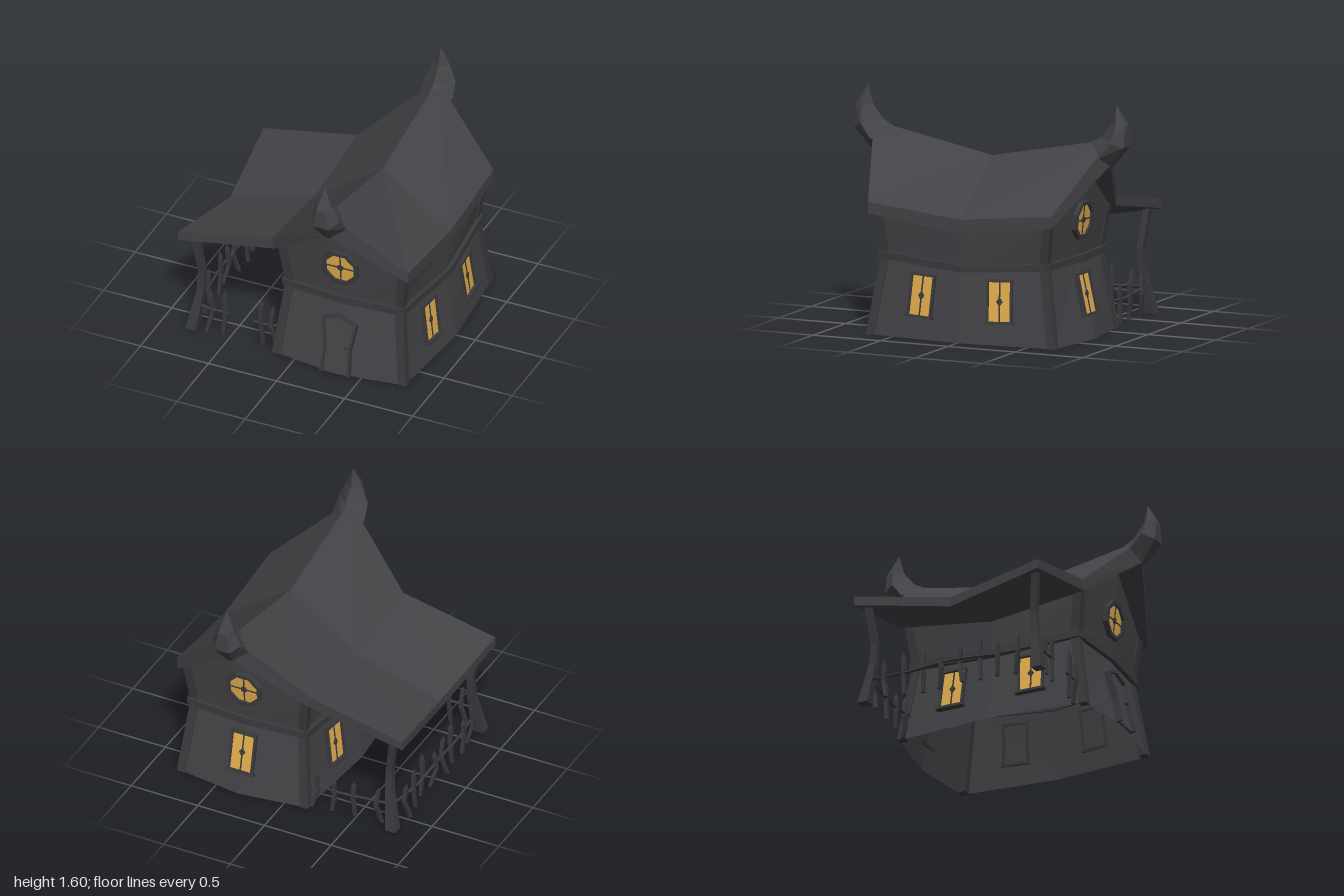
import * as THREE from 'three';

const mat = (name, color, side = THREE.FrontSide) =>
  Object.assign(new THREE.MeshStandardMaterial({ color, flatShading: true, side }), { name });

// House centre line and wall levels: y, half width, half depth, side bulge, front bulge, side sag
const CX = 0.32;
const LEVELS = [
  [0.01, 0.48, 0.69, 0.06, 0.065, 0],
  [0.55, 0.42, 0.605, 0.045, 0.03, 0.045],
  [0.86, 0.46, 0.645, 0.025, 0.02, 0.08],
];

// Point on a wall; face 0 front, 1 left (+x), 2 back, 3 right; t runs -1..1 along it, out is an outward offset
function wallPoint(face, t, y, out = 0) {
  const k = y < LEVELS[1][0] ? 0 : 1, a = LEVELS[k], b = LEVELS[k + 1];
  const f = (y - a[0]) / (b[0] - a[0]);
  const [, hx, hz, bx, bz, sag] = a.map((v, i) => v + (b[i] - v) * f);
  const m = 1 - Math.abs(t), s = face > 1 ? -1 : 1;
  return face % 2 === 0
    ? new THREE.Vector3(CX + s * t * hx, y, s * (hz + bz * m + out))
    : new THREE.Vector3(CX + s * (hx + bx * m + out), y - sag * m, -s * t * hz);
}

// Closed solid through rings of equal point count, always facing outward
function loft(rings) {
  const n = rings[0].length, tris = [];
  const quad = (a, b, c, d) => tris.push([a, b, c], [a, c, d]);
  for (let r = 0; r + 1 < rings.length; r++)
    for (let i = 0; i < n; i++) {
      const j = (i + 1) % n;
      quad(rings[r][i], rings[r][j], rings[r + 1][j], rings[r + 1][i]);
    }
  const first = rings[0], last = rings[rings.length - 1];
  for (let i = 0; i < Math.floor((n - 1) / 2); i++) {
    const o = n - 1 - i;
    quad(first[o], first[o - 1], first[i + 1], first[i]);
    quad(last[i], last[i + 1], last[o - 1], last[o]);
  }
  const c = first[0], rel = (p) => p.clone().sub(c);
  let vol = 0;
  for (const [p, q, s] of tris) vol += rel(p).dot(rel(q).cross(rel(s)));
  if (vol < 0) tris.forEach((t) => t.reverse());
  const g = new THREE.BufferGeometry().setFromPoints(tris.flat());
  g.computeVertexNormals();
  return g;
}

const V = (x, y, z) => new THREE.Vector3(x, y, z);
const square = (x, y, z, w, d = w) =>
  [[-1, -1], [1, -1], [1, 1], [-1, 1]].map(([a, b]) => V(x + a * w / 2, y, z + b * d / 2));

export function createModel() {
  const model = new THREE.Group();
  model.name = 'crookedHouse';
  const wallMat = mat('charcoal wall', 0x434347, THREE.DoubleSide);
  const roofMat = mat('charcoal roof', 0x434347);
  const trimMat = mat('dark trim', 0x3a3a3e);
  const glowMat = mat('amber glass', 0xdfab4c);
  const add = (parent, name, geo, material) => {
    const m = new THREE.Mesh(geo, material);
    m.name = name;
    parent.add(m);
    return m;
  };

  // Walls: two folded panels per side, with gables on front and back
  const wall = [];
  for (let face = 0; face < 4; face++) {
    for (const t of [-1, 0])
      for (const k of [0, 1]) {
        const [y0, y1] = [LEVELS[k][0], LEVELS[k + 1][0]];
        const a = wallPoint(face, t, y0), b = wallPoint(face, t + 1, y0);
        const c = wallPoint(face, t + 1, y1), d = wallPoint(face, t, y1);
        wall.push(a, b, c, a, c, d);
      }
    if (face % 2 === 0)
      for (const t of [-1, 0])
        wall.push(wallPoint(face, t, 0.86), wallPoint(face, t + 1, 0.86), wallPoint(face, 0, 1.2));
  }
  const wallGeo = new THREE.BufferGeometry().setFromPoints(wall);
  wallGeo.computeVertexNormals();
  add(model, 'walls', wallGeo, wallMat);

  // Bent corner posts
  for (const sx of [-1, 1])
    for (const sz of [-1, 1])
      add(model, 'cornerPost', loft(LEVELS.map(([y, hx, hz]) =>
        square(CX + sx * (hx - 0.018), y, sz * (hz - 0.018), 0.06))), trimMat);

  // Floor band around the middle
  for (let face = 0; face < 4; face++)
    add(model, 'floorBand', loft([-1.03, 0, 1.03].map((t) => [
      wallPoint(face, t, 0.525, -0.01), wallPoint(face, t, 0.525, 0.03),
      wallPoint(face, t, 0.575, 0.03), wallPoint(face, t, 0.575, -0.01)])), trimMat);

  // Sagging roof with porch lean-to: top edge points then underside
  const roofEnd = (s) => [
    V(-0.87, 0.77, 0.68 * s), V(-0.18, 0.91, 0.68 * s), V(CX, 1.37, 0.88 * s), V(0.82, 0.91, 0.68 * s),
    V(0.82, 0.83, 0.68 * s), V(CX, 1.2, 0.88 * s), V(-0.16, 0.835, 0.68 * s), V(-0.87, 0.705, 0.68 * s)];
  const roofMid = [
    V(-0.8, 0.655, 0), V(-0.18, 0.84, 0), V(CX, 1.2, 0), V(0.82, 0.84, 0),
    V(0.82, 0.745, 0), V(CX, 1.07, 0), V(-0.16, 0.745, 0), V(-0.8, 0.588, 0)];
  add(model, 'roof', loft([roofEnd(-1), roofMid, roofEnd(1)]), roofMat);

  // Upswept ridge horns: inner y z, side half width y z, outer half width y z
  const horn = [
    [1.34, 0.73, 0.12, 1.26, 0.845, 0.02, 1.19, 0.89],
    [1.385, 0.81, 0.108, 1.36, 0.925, 0.055, 1.33, 1.0],
    [1.48, 0.885, 0.06, 1.475, 0.94, 0.03, 1.47, 1.0],
    [1.61, 0.92, 0.001, 1.61, 0.921, 0.001, 1.61, 0.922]];
  for (const s of [-1, 1])
    add(model, 'ridgeHorn', loft(horn.map(([iy, iz, sw, sy, sz, ow, oy, oz]) => [
      V(CX, iy, s * iz), V(CX + sw, sy, s * sz), V(CX + ow, oy, s * oz),
      V(CX - ow, oy, s * oz), V(CX - sw, sy, s * sz)])), roofMat);

  // Group lying on a wall: local x along it, y up it, z outward
  const onWall = (name, face, t, y) => {
    const g = new THREE.Group();
    g.name = name;
    const u = wallPoint(face, t + 0.1, y).sub(wallPoint(face, t - 0.1, y)).normalize();
    const up = wallPoint(face, t, y + 0.04).sub(wallPoint(face, t, y - 0.04));
    const n = u.clone().cross(up).normalize();
    g.applyMatrix4(new THREE.Matrix4().makeBasis(u, n.clone().cross(u), n).setPosition(wallPoint(face, t, y)));
    model.add(g);
    return g;
  };
  const box = (g, name, w, h, d, x, y, z, material) =>
    add(g, name, new THREE.BoxGeometry(w, h, d), material).position.set(x, y, z);
  const plate = (g, name, pts, depth, z, material, hole) => {
    const s = new THREE.Shape(pts.map(([x, y]) => new THREE.Vector2(x, y)));
    if (hole) s.holes.push(new THREE.Path(hole.map(([x, y]) => new THREE.Vector2(x, y))));
    const m = add(g, name, new THREE.ExtrudeGeometry(s, { depth, bevelEnabled: false }), material);
    m.position.z = z;
  };

  // Tall lit windows
  const tallWindow = (face, t) => {
    const g = onWall('tallWindow', face, t, 0.315);
    box(g, 'glass', 0.16, 0.27, 0.008, 0, 0, 0.008, glowMat);
    for (const s of [-1, 1]) box(g, 'frameSide', 0.016, 0.28, 0.035, s * 0.085, 0, 0.007, trimMat);
    box(g, 'lintel', 0.19, 0.018, 0.04, 0, 0.14, 0.009, trimMat);
    box(g, 'sill', 0.21, 0.018, 0.055, 0, -0.142, 0.012, trimMat);
    box(g, 'mullion', 0.009, 0.27, 0.006, 0, 0, 0.014, trimMat);
    for (const y of [0.045, -0.045])
      plate(g, 'diamond', [[0, -0.032], [0.023, 0], [0, 0.032], [-0.023, 0]], 0.006, 0.012, trimMat);
  };
  for (const face of [1, 3]) for (const t of [-0.45, 0.45]) tallWindow(face, t);
  tallWindow(2, 0);

  // Octagonal gable windows
  const octagon = (r) => Array.from({ length: 8 }, (_, i) => {
    const a = (i + 0.5) * Math.PI / 4;
    return [r * Math.cos(a), r * Math.sin(a)];
  });
  for (const face of [0, 2]) {
    const g = onWall('gableWindow', face, 0, 0.815);
    plate(g, 'glass', octagon(0.115), 0.008, 0.004, glowMat);
    plate(g, 'frame', octagon(0.138), 0.04, -0.012, trimMat, octagon(0.11));
    box(g, 'mullion', 0.008, 0.21, 0.006, 0, 0, 0.014, trimMat);
    box(g, 'crossbar', 0.21, 0.008, 0.006, 0, 0, 0.014, trimMat);
    plate(g, 'boss', octagon(0.023), 0.008, 0.012, trimMat);
  }

  // Crooked pointed door
  const door = onWall('door', 0, 0, 0.22);
  const left = [[-0.108, -0.21], [-0.1, -0.02], [-0.13, 0.17], [0, 0.225]];
  const inner = [[-0.09, -0.21], [-0.082, -0.02], [-0.11, 0.16], [0, 0.205]];
  const mirror = (p) => p.slice(0, 3).reverse().map(([x, y]) => [-x, y]);
  const innerAll = [...inner, ...mirror(inner)];
  plate(door, 'doorFrame', [...left, ...mirror(left), ...innerAll.reverse()], 0.045, -0.015, trimMat);
  plate(door, 'doorPanel', innerAll, 0.02, -0.012, wallMat);
  add(door, 'doorKnob', new THREE.IcosahedronGeometry(0.017, 1), trimMat).position.set(0.07, 0, 0.025);

  // Bent porch posts
  for (const s of [-1, 1])
    add(model, 'porchPost', loft([
      square(-0.78, 0.01, s * 0.645, 0.075), square(-0.735, 0.3, s * 0.6, 0.05),
      square(-0.733, 0.45, s * 0.59, 0.046), square(-0.775, 0.72, s * 0.62, 0.045)]), trimMat);

  // Crooked pickets: x, z, height
  const pickets = [
    [-0.65, 0.63, 0.33], [-0.55, 0.63, 0.36], [-0.28, 0.63, 0.37], [-0.2, 0.63, 0.33],
    [-0.66, -0.63, 0.3], [-0.48, -0.63, 0.29], [-0.33, -0.63, 0.27], [-0.2, -0.63, 0.3]];
  for (let i = 0; i < 8; i++) pickets.push([-0.8 + 0.012 * (i % 3), -0.49 + i * 0.14, 0.29 + 0.03 * (i % 3)]);
  pickets.forEach(([x, z, h], i) => {
    const lean = 0.022 * ((i * 5) % 4 - 1.5) / 1.5;
    add(model, 'picket', loft([
      square(x + lean, 0.01, z - lean, 0.022), square(x - lean * 0.4, h * 0.5, z + lean * 0.4, 0.025),
      square(x, h * 0.85, z, 0.027), square(x + lean * 0.3, h, z, 0.003)]), trimMat);
  });

  // Wavering fence rails
  const rails = [
    [[-0.77, 0.19, 0.62], [-0.64, 0.18, 0.63], [-0.52, 0.185, 0.63]],
    [[-0.34, 0.17, 0.63], [-0.25, 0.17, 0.63], [-0.13, 0.18, 0.62]],
    [[-0.76, 0.19, -0.62], [-0.6, 0.185, -0.63], [-0.35, 0.165, -0.63], [-0.13, 0.185, -0.62]],
    [[-0.76, 0.19, -0.62], [-0.79, 0.17, -0.35], [-0.8, 0.19, 0], [-0.79, 0.17, 0.35], [-0.76, 0.19, 0.62]]];
  for (const pts of rails) {
    const path = new THREE.CatmullRomCurve3(pts.map((p) => V(...p)));
    add(model, 'fenceRail', new THREE.TubeGeometry(path, 8, 0.011, 4), trimMat);
  }
  return model;
}
